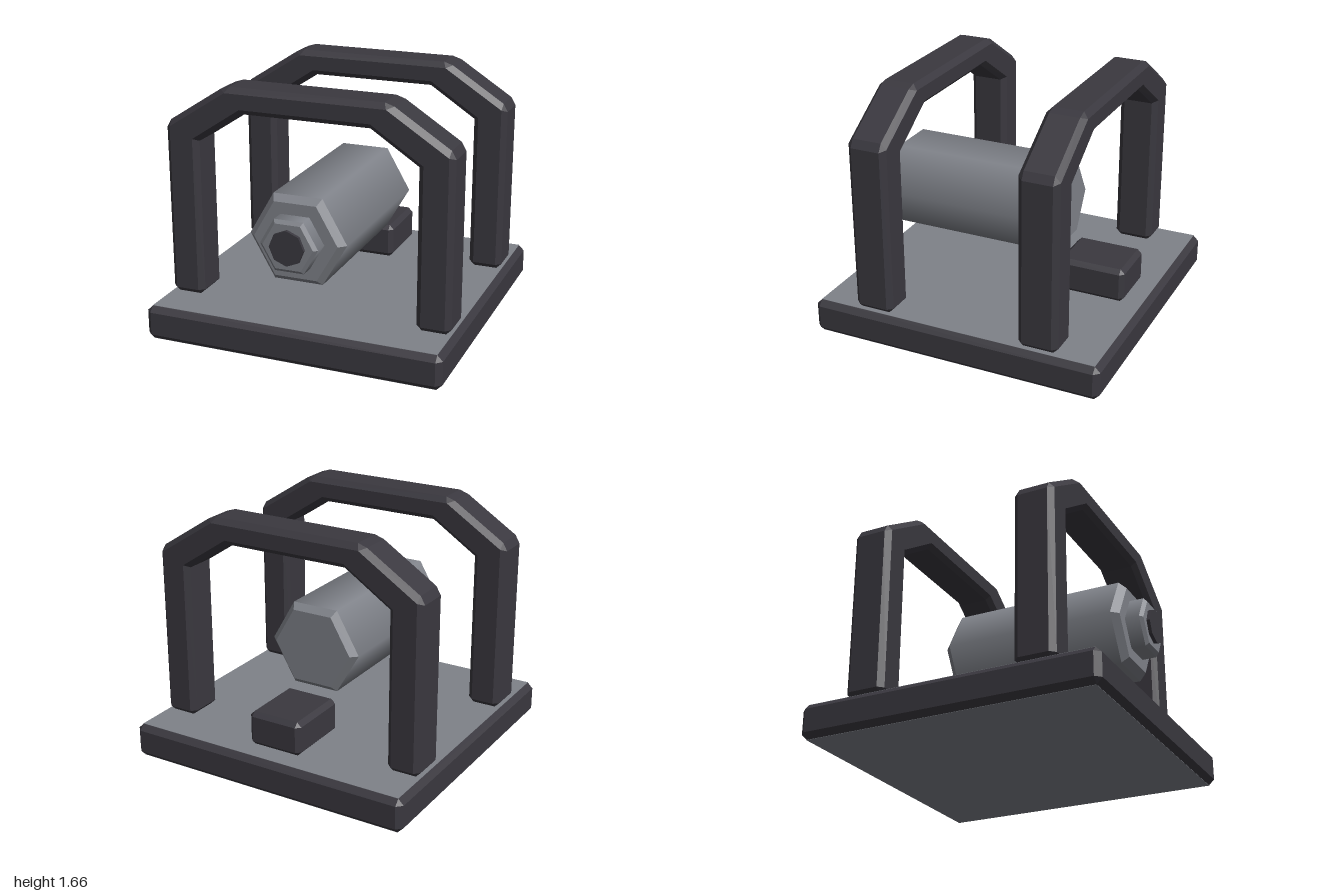
import * as THREE from 'three';

const dark = new THREE.MeshStandardMaterial({ color: 0x3a383f });
dark.name = 'charcoal';
const grey = new THREE.MeshStandardMaterial({ color: 0x7f8289 });
grey.name = 'steel grey';

// Eight-point chamfered section: four profile points from outside to inside,
// half depth d and chamfer c. A cap section is drawn in to the chamfer.
function section([o, oi, ii, i], d, c, cap) {
  const face = cap ? d - c : d, side = d - c;
  return [[o, side], [oi, face], [ii, face], [i, side], [i, -side], [ii, -face], [oi, -face], [o, -side]]
    .map(([p, z]) => new THREE.Vector3(p[0], p[1], z));
}

// Flat-shaded skin over a row of sections, closed at both ends
function loft(rings) {
  const pos = [];
  const tri = (a, b, c) => {
    if (new THREE.Triangle(a, b, c).getArea() < 1e-8) return;
    for (const p of [a, b, c]) pos.push(p.x, p.y, p.z);
  };
  for (let j = 0; j < rings.length - 1; j++) {
    const r = rings[j], s = rings[j + 1];
    for (let i = 0; i < 8; i++) {
      const k = (i + 1) % 8;
      tri(r[i], s[i], s[k]);
      tri(r[i], s[k], r[k]);
    }
  }
  const first = rings[0], last = rings[rings.length - 1];
  for (let i = 1; i < 7; i++) {
    tri(first[0], first[i], first[i + 1]);
    tri(last[0], last[i + 1], last[i]);
  }
  const geo = new THREE.BufferGeometry();
  geo.setAttribute('position', new THREE.Float32BufferAttribute(pos, 3));
  geo.computeVertexNormals();
  return geo;
}

function chamferedBox(w, y0, y1, d, c) {
  const row = (y, cap) => {
    const x = w - c, e = cap ? x : w;
    return section([[e, y], [x, y], [-x, y], [-e, y]], d, c, cap);
  };
  return loft([row(y0, true), row(y0 + c, false), row(y1 - c, false), row(y1, true)]);
}

function archGeometry() {
  const kneeOut = [0.925, 1.367], kneeIn = [0.768, 1.3], kneeInner = [0.733, 1.283];
  const topOut = [0.531, 1.62], topIn = [0.432, 1.522], topInner = [0.421, 1.488];
  // One half, from the foot to the crown
  const half = [
    [[0.925, 0.23], [0.925, 0.23], [0.768, 0.23], [0.768, 0.23]],
    [[0.96, 0.265], [0.925, 0.265], [0.768, 0.265], [0.733, 0.265]],
    [[0.96, 1.353], kneeOut, kneeIn, kneeInner],
    [[0.93, 1.406], kneeOut, kneeIn, kneeInner],
    [[0.572, 1.636], topOut, topIn, topInner],
    [[0.51, 1.656], topOut, topIn, topInner],
  ];
  const mirrored = half.map(s => s.map(([x, y]) => [-x, y])).reverse();
  const all = [...half, ...mirrored];
  return loft(all.map((s, i) => section(s, 0.134, 0.035, i === 0 || i === all.length - 1)));
}

export function createModel() {
  const model = new THREE.Group();
  model.name = 'framedCylinder';
  const add = (parent, name, geo, mat, x = 0, y = 0, z = 0) => {
    const mesh = new THREE.Mesh(geo, mat);
    mesh.name = name;
    mesh.position.set(x, y, z);
    parent.add(mesh);
    return mesh;
  };

  // Base slab with grey faces above and below
  add(model, 'base', chamferedBox(1, 0.002, 0.23, 1, 0.037), dark);
  const panel = new THREE.BoxGeometry(1.926, 0.004, 1.926);
  add(model, 'floorPanel', panel, grey, 0, 0.23, 0);
  add(model, 'undersidePanel', panel, grey, 0, 0.002, 0);

  // Two roll hoops
  const arch = archGeometry();
  add(model, 'frontArch', arch, dark, 0, 0, 0.575);
  add(model, 'backArch', arch, dark, 0, 0, -0.575);

  // Small block behind the barrel
  add(model, 'rearBlock', chamferedBox(0.19, 0.23, 0.463, 0.231, 0.03), dark, 0, 0, -0.614);

  // Barrel lying along z; front end at +z
  const barrel = new THREE.Group();
  barrel.name = 'barrel';
  barrel.position.y = 0.77;
  model.add(barrel);
  const prism = (name, rFront, rBack, zBack, zFront, { sides = 6, open = true, flat = true, mat = grey } = {}) => {
    let geo = new THREE.CylinderGeometry(rFront, rBack, zFront - zBack, sides, 1, open, Math.PI / 2);
    if (flat) {
      geo = geo.toNonIndexed();
      geo.computeVertexNormals();
    }
    geo.rotateX(Math.PI / 2);
    add(barrel, name, geo, mat, 0, 0, (zFront + zBack) / 2);
  };
  const disc = (name, r, z, back) => {
    const geo = new THREE.CircleGeometry(r, 6);
    if (back) geo.rotateY(Math.PI);
    add(barrel, name, geo, grey, 0, 0, z);
  };
  prism('barrelBody', 0.325, 0.325, -0.34, 0.802, { flat: false });
  prism('barrelFrontBevel', 0.28, 0.325, 0.802, 0.848);
  prism('barrelBackBevel', 0.325, 0.28, -0.382, -0.34);
  disc('barrelFrontEnd', 0.28, 0.848, false);
  disc('barrelBackEnd', 0.28, -0.382, true);

  // Nozzle and its dark muzzle
  prism('nozzle', 0.193, 0.193, 0.848, 0.942, { flat: false });
  prism('nozzleBevel', 0.168, 0.193, 0.942, 0.963);
  disc('nozzleEnd', 0.168, 0.963, false);
  prism('muzzle', 0.115, 0.115, 0.955, 0.985, { sides: 8, open: false, mat: dark });

  return model;
}
